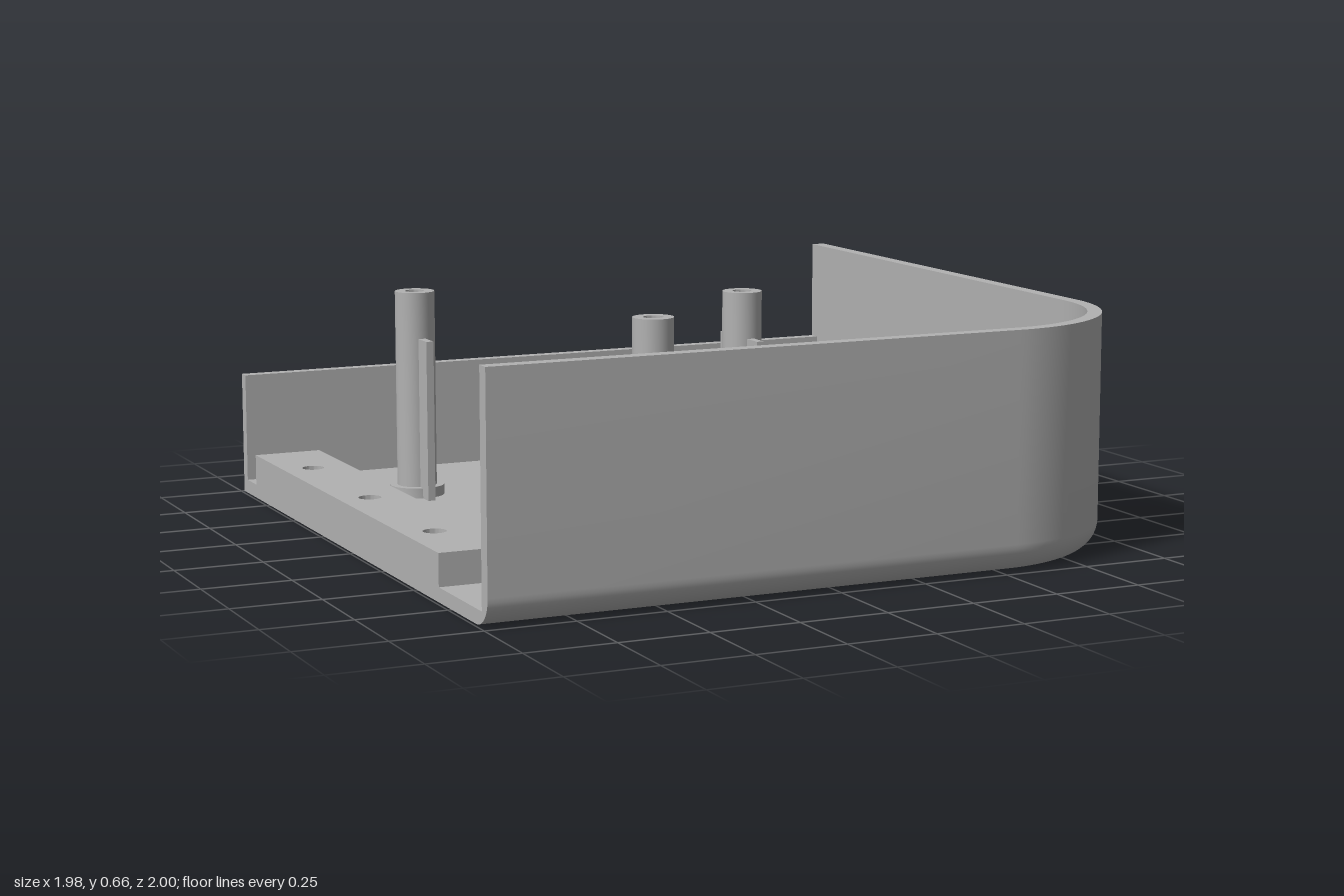
import * as THREE from 'three';
import { toCreasedNormals } from 'three/addons/utils/BufferGeometryUtils.js';

const X = 0.99, Z = 1, TOP = 0.66, WALL = 0.04, FLOOR = 0.04, FILLET = 0.08, CORNER = 0.46;

// Plan outline of the front and side walls, moved inwards by an inset: [x, z]
function outline(inset, steps = 32) {
  const pts = [[-X, Z - inset]];
  const r = CORNER - inset;
  for (let i = 0; i <= steps; i++) {
    const a = (i / steps) * Math.PI / 2;
    pts.push([X - CORNER + r * Math.sin(a), Z - CORNER + r * Math.cos(a)]);
  }
  pts.push([X - inset, -Z]);
  return pts;
}

// Wall section swept along the outline, with both ends capped
function wallGeometry() {
  const profile = []; // (-inset, y), anticlockwise
  for (let i = 0; i <= 10; i++) {
    const a = (i / 10) * Math.PI / 2;
    profile.push(new THREE.Vector2(-FILLET + FILLET * Math.sin(a), FILLET - FILLET * Math.cos(a)));
  }
  profile.push(new THREE.Vector2(0, TOP), new THREE.Vector2(-WALL, TOP),
    new THREE.Vector2(-WALL, FLOOR), new THREE.Vector2(-FILLET, FLOOR));
  const rows = profile.map(p => outline(-p.x).map(([x, z]) => [x, p.y, z]));
  const n = rows[0].length;
  const pos = [];
  const tri = (a, b, c) => pos.push(...a, ...b, ...c);
  for (let j = 0; j < rows.length - 1; j++) {
    for (let i = 0; i < n - 1; i++) {
      const a = rows[j][i], b = rows[j][i + 1], c = rows[j + 1][i + 1], d = rows[j + 1][i];
      tri(a, b, c);
      tri(a, c, d);
    }
  }
  for (const [a, b, c] of THREE.ShapeUtils.triangulateShape(profile, [])) {
    tri(rows[a][0], rows[b][0], rows[c][0]);
    tri(rows[a][n - 1], rows[c][n - 1], rows[b][n - 1]);
  }
  const g = new THREE.BufferGeometry();
  g.setAttribute('position', new THREE.Float32BufferAttribute(pos, 3));
  return toCreasedNormals(g, 0.5);
}

// Flat plate from [x, z] points, with optional round holes [x, z, radius]
function plateGeometry(points, y0, y1, holes = []) {
  const shape = new THREE.Shape(points.map(([x, z]) => new THREE.Vector2(x, -z)));
  for (const [x, z, r] of holes) {
    shape.holes.push(new THREE.Path().absarc(x, -z, r, 0, Math.PI * 2, true));
  }
  const g = new THREE.ExtrudeGeometry(shape, { depth: y1 - y0, bevelEnabled: false, curveSegments: 20 });
  g.rotateX(-Math.PI / 2).translate(0, y0, 0);
  return toCreasedNormals(g, 0.5);
}

function boxGeometry(x0, x1, y0, y1, z0, z1) {
  return new THREE.BoxGeometry(x1 - x0, y1 - y0, z1 - z0)
    .translate((x0 + x1) / 2, (y0 + y1) / 2, (z0 + z1) / 2);
}

export function createModel() {
  const model = new THREE.Group();
  model.name = 'enclosureHalf';
  const grey = new THREE.MeshStandardMaterial({ color: 0xb2b2b2 });
  grey.name = 'grey plastic';
  const add = (parent, name, geometry) => {
    const mesh = new THREE.Mesh(geometry, grey);
    mesh.name = name;
    parent.add(mesh);
  };

  // Shell
  add(model, 'curvedWall', wallGeometry());
  add(model, 'floor', plateGeometry([...outline(FILLET), [-X, -Z]], 0, FLOOR));
  add(model, 'lowBackWall', boxGeometry(-X, X - WALL, FLOOR, 0.36, -Z, -0.965));

  // Raised strip with screw holes along the open side
  const strip = [[-X, 0.66], [-0.79, 0.66], [-0.79, -0.88], [-X, -0.88]];
  add(model, 'mountingStrip', plateGeometry(strip, FLOOR, 0.13,
    [-0.61, -0.115, 0.395].map(z => [-0.9, z, 0.032])));

  // Hollow screw posts, each with a collar and two ribs
  const section = [[0.08, FLOOR], [0.08, 0.07], [0.058, 0.07], [0.058, 0.645], [0.028, 0.645], [0.028, FLOOR]]
    .map(([r, y]) => new THREE.Vector2(r, y));
  const postGeometry = toCreasedNormals(new THREE.LatheGeometry(section, 32), 0.5);
  for (const [x, z] of [[-0.6, -0.545], [0.27, -0.14], [-0.2, 0.26]]) {
    const post = new THREE.Group();
    post.name = 'screwPost';
    post.position.set(x, 0, z);
    add(post, 'postTube', postGeometry);
    add(post, 'frontRib', boxGeometry(-0.011, 0.011, FLOOR, 0.51, 0.05, 0.122));
    add(post, 'backRib', boxGeometry(-0.011, 0.011, FLOOR, 0.51, -0.122, -0.05));
    model.add(post);
  }
  return model;
}
